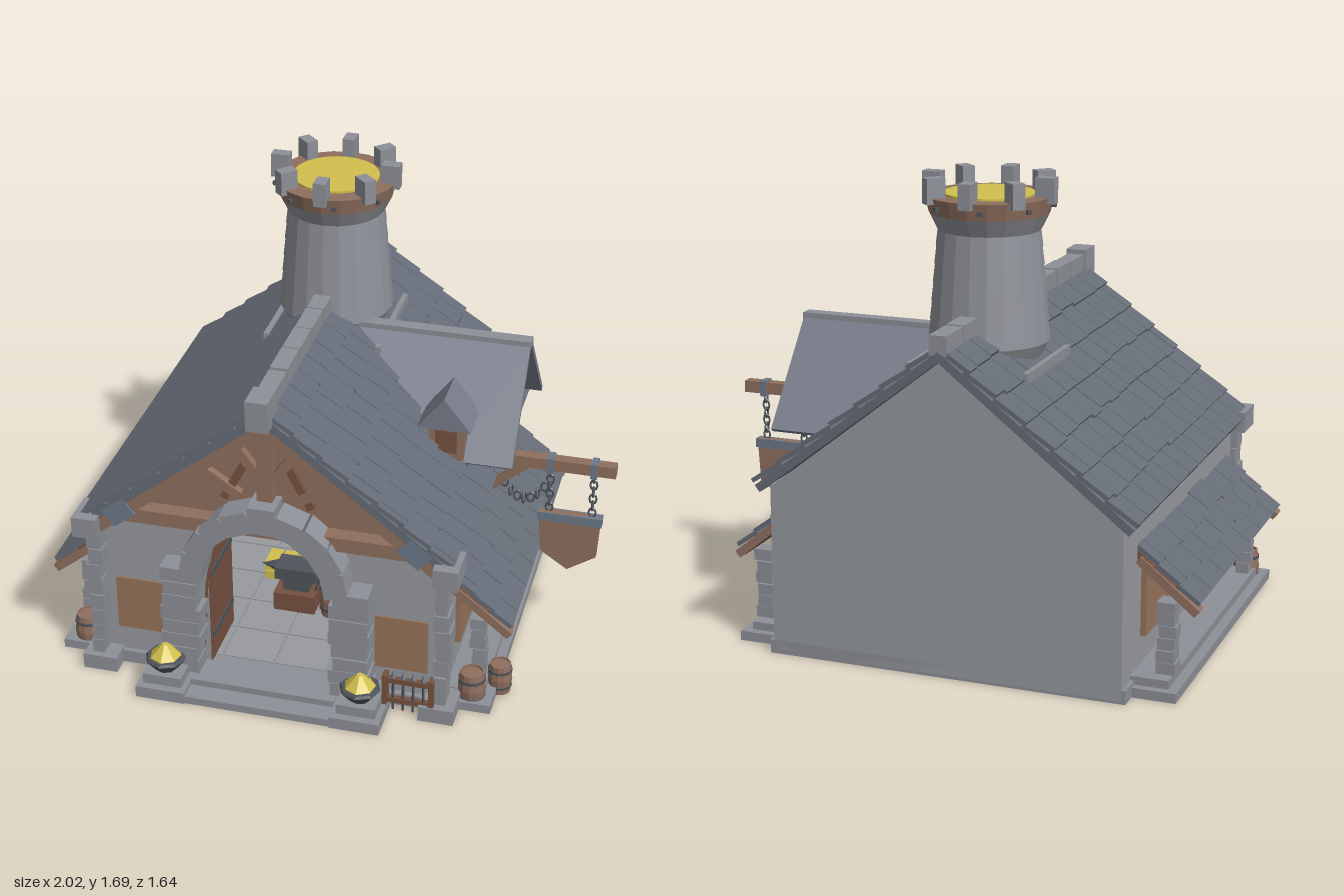
import * as THREE from 'three';

const mat = (name, color, opts = {}) => {
  const m = new THREE.MeshStandardMaterial({ color, flatShading: true, ...opts });
  m.name = name;
  return m;
};
const stone = mat('stone', 0x8d9097), wall = mat('wall plaster', 0x979a9e), slate = mat('slate', 0x666c77);
const paleSlate = mat('pale slate', 0x777c8a, { side: THREE.DoubleSide });
const wood = mat('wood', 0x8f6f5f), darkWood = mat('dark wood', 0x76523f), panelWood = mat('panel wood', 0x97735c);
const iron = mat('iron', 0x50555b), steel = mat('steel', 0x6d7889), gold = mat('gold', 0xd2bf4c);

let seed = 7;
const rnd = () => (seed = (seed * 16807) % 2147483647) / 2147483647;
const jit = (a) => (rnd() - 0.5) * 2 * a;

function add(parent, name, geo, material, x = 0, y = 0, z = 0) {
  const m = new THREE.Mesh(geo, material);
  m.name = name;
  m.position.set(x, y, z);
  parent.add(m);
  return m;
}
// box given by its min and max along each axis
const box = (p, name, m, x0, x1, y0, y1, z0, z1) =>
  add(p, name, new THREE.BoxGeometry(Math.abs(x1 - x0), y1 - y0, z1 - z0), m, (x0 + x1) / 2, (y0 + y1) / 2, (z0 + z1) / 2);
const cyl = (p, name, m, rt, rb, h, n, x, y, z) => add(p, name, new THREE.CylinderGeometry(rt, rb, h, n), m, x, y + h / 2, z);
// beam lying in a plane of constant z, from (x0,y0) to (x1,y1)
function beam(p, name, m, x0, y0, x1, y1, w, z0, z1) {
  const b = add(p, name, new THREE.BoxGeometry(Math.hypot(x1 - x0, y1 - y0), w, z1 - z0), m, (x0 + x1) / 2, (y0 + y1) / 2, (z0 + z1) / 2);
  b.rotation.z = Math.atan2(y1 - y0, x1 - x0);
  return b;
}
// flat outline pushed out from z0 to z1
function prism(p, name, m, pts, z0, z1) {
  const shape = new THREE.Shape(pts.map(([x, y]) => new THREE.Vector2(x, y)));
  return add(p, name, new THREE.ExtrudeGeometry(shape, { depth: z1 - z0, bevelEnabled: false }), m, 0, 0, z0);
}

// pair of mirrored slopes covered in overlapping tiles
function tiledRoof(parent, name, tx, ty, bx, by, zc, len, rows, cols, deckMat) {
  const L = Math.hypot(bx - tx, ty - by), pitch = L / rows;
  for (const turn of [0, Math.PI]) {
    const side = new THREE.Group(), slope = new THREE.Group();
    side.name = name;
    side.position.z = zc;
    side.rotation.y = turn;
    slope.position.set(tx, ty, 0);
    slope.rotation.z = -Math.atan2(ty - by, bx - tx);
    side.add(slope);
    parent.add(side);
    box(slope, 'roofDeck', deckMat, 0, L, -0.03, 0, -len / 2, len / 2);
    for (let r = 0; r < rows; r++) {
      let z = -len / 2;
      for (let c = 0; z < len / 2 - 0.01; c++) {
        const w = (len / cols) * (c === 0 && r % 2 ? 0.5 : 1 + jit(0.22));
        let z1 = Math.min(z + w, len / 2);
        if (len / 2 - z1 < 0.03) z1 = len / 2;
        const end = (r + 1) * pitch + (r < rows - 1 ? jit(0.008) : 0);
        const t = box(slope, 'roofTile', slate, end - pitch * 1.08, end, 0, 0.016, z + 0.002, z1 - 0.002);
        t.position.y = 0.012;
        t.rotation.z = 0.09;
        z = z1;
      }
    }
  }
}

function stack(p, name, x, z, y0, y1, n, w, d) {
  const h = (y1 - y0) / n;
  for (let i = 0; i < n; i++) {
    const hw = w / 2 + jit(w * 0.07), hd = d / 2 + jit(d * 0.06), dx = jit(0.006);
    box(p, name, stone, x + dx - hw, x + dx + hw, y0 + i * h, y0 + (i + 1) * h - 0.002, z - hd, z + hd);
  }
}

function barrel(p, x, z, r, h, y = 0) {
  const prof = [[0, 0], [r * 0.85, 0], [r, h * 0.5], [r * 0.85, h], [r * 0.75, h], [r * 0.75, h * 0.94], [0, h * 0.94]];
  add(p, 'barrel', new THREE.LatheGeometry(prof.map(([a, b]) => new THREE.Vector2(a, b)), 12), wood, x, y, z);
  for (const t of [0.2, 0.75]) cyl(p, 'barrelHoop', iron, r * 0.98, r * 0.98, h * 0.08, 12, x, y + h * t, z);
}

export function createModel() {
  const root = new THREE.Group();
  root.name = 'smithy';
  const g = new THREE.Group(); // house, symmetric about its own x = 0
  g.name = 'house';
  g.position.x = -0.145;
  root.add(g);

  // Floor, walls and gables
  box(g, 'floor', stone, -0.66, 0.66, 0, 0.05, -0.79, 0.63);
  for (let i = 0; i < 6; i++) for (let j = 0; j < 7; j++)
    box(g, 'floorTile', wall, -0.59 + i * 0.197, -0.4 + i * 0.197, 0.05, 0.054, -0.72 + j * 0.185, -0.542 + j * 0.185);
  prism(g, 'backWall', wall, [[-0.645, 0.01], [0.645, 0.01], [0.645, 0.62], [0, 1.13], [-0.645, 0.62]], -0.79, -0.74);
  prism(g, 'frontGable', wood, [[-0.645, 0.62], [0.645, 0.62], [0, 1.13]], 0.55, 0.6);
  box(g, 'backWainscot', panelWood, -0.59, 0.59, 0.05, 0.38, -0.74, -0.732);
  box(g, 'ceiling', wood, -0.6, 0.6, 0.6, 0.62, -0.74, 0.55);

  for (const s of [-1, 1]) {
    box(g, 'sideWall', wall, s * 0.595, s * 0.645, 0.02, 0.63, -0.79, 0.61);
    box(g, 'frontWall', wall, s * 0.23, s * 0.645, 0.02, 0.62, 0.55, 0.61);
    box(g, 'frontPanel', panelWood, s * 0.39, s * 0.585, 0.15, 0.37, 0.61, 0.617);
    // corner stones
    stack(g, 'cornerStone', s * 0.645, 0.63, 0.05, 0.58, 8, 0.05, 0.08);
    box(g, 'cornerCap', stone, s * 0.615, s * 0.705, 0.585, 0.665, 0.57, 0.71);
    box(g, 'cornerFoot', stone, s * 0.57, s * 0.7, 0, 0.06, 0.56, 0.7);
    // lean-to plinth, wall and pillars
    box(g, 'plinth', stone, s * 0.63, s * 0.815, 0, 0.035, -0.72, 0.6);
    box(g, 'plinthStep', stone, s * 0.63, s * 0.78, 0.035, 0.065, -0.69, 0.56);
    box(g, 'sidePanel', panelWood, s * 0.645, s * 0.665, 0.17, 0.46, -0.58, 0.43);
    stack(g, 'leanToPillar', s * 0.755, -0.605, 0.065, 0.325, 6, 0.062, 0.065);
    stack(g, 'leanToPillar', s * 0.745, 0.46, 0.065, 0.325, 6, 0.055, 0.05);
    beam(g, 'leanToRafter', wood, s * 0.65, 0.465, s * 0.86, 0.295, 0.03, 0.47, 0.52);
    beam(g, 'leanToRafter', wood, s * 0.65, 0.465, s * 0.86, 0.295, 0.03, -0.64, -0.59);
    // gable timbers
    beam(g, 'gableRafter', wood, 0, 1.125, s * 0.65, 0.607, 0.07, 0.6, 0.665);
    beam(g, 'gableStrut', wood, s * 0.03, 0.89, s * 0.11, 1.0, 0.035, 0.6, 0.63);
    beam(g, 'gableStrut', wood, s * 0.1, 0.8, s * 0.25, 0.9, 0.035, 0.6, 0.63);
    beam(g, 'gableStrut', darkWood, s * 0.07, 0.95, s * 0.16, 0.78, 0.03, 0.6, 0.62);
    box(g, 'tieBeam', wood, s * 0.2, s * 0.56, 0.65, 0.705, 0.6, 0.66);
    beam(g, 'rafterPlate', steel, s * 0.5, 0.72, s * 0.58, 0.657, 0.076, 0.66, 0.672);
    // arch pillar, its foot and fire bowl
    stack(g, 'archPillar', s * 0.315, 0.65, 0.055, 0.5, 8, 0.135, 0.1);
    box(g, 'pillarFoot', stone, s * 0.27, s * 0.455, 0, 0.045, 0.6, 0.82);
    box(g, 'pillarFootStep', stone, s * 0.29, s * 0.435, 0.045, 0.085, 0.61, 0.79);
    cyl(g, 'fireBowl', iron, 0.076, 0.04, 0.045, 8, s * 0.365, 0.085, 0.73);
    cyl(g, 'fireBowlRim', iron, 0.07, 0.076, 0.01, 8, s * 0.365, 0.13, 0.73);
    cyl(g, 'embers', gold, 0.012, 0.06, 0.05, 7, s * 0.365, 0.138, 0.73);
  }
  box(g, 'kingPost', wood, -0.028, 0.028, 0.78, 1.11, 0.6, 0.65);

  // Stone arch over the doorway
  for (let i = 0; i < 9; i++) {
    const a = ((i + 0.5) / 9) * Math.PI, r = i === 4 ? 0.275 : 0.265;
    const b = add(g, 'archStone', new THREE.BoxGeometry(0.085 + (i === 4 ? 0.02 : jit(0.008)), 0.1, 0.11), stone, r * Math.cos(a), 0.48 + r * Math.sin(a), 0.65);
    b.rotation.z = a;
  }
  box(g, 'step', stone, -0.275, 0.275, 0, 0.03, 0.6, 0.815);
  box(g, 'upperStep', stone, -0.27, 0.27, 0.03, 0.055, 0.6, 0.74);
  box(g, 'door', darkWood, -0.265, -0.225, 0.055, 0.52, 0.35, 0.61);
  for (const y of [0.15, 0.42]) box(g, 'doorStrap', iron, -0.225, -0.22, y, y + 0.025, 0.36, 0.6);

  // Main roof, lean-to roofs and ridge
  tiledRoof(g, 'mainRoof', 0, 1.17, 0.69, 0.63, -0.075, 1.49, 7, 12, slate);
  tiledRoof(g, 'leanToRoof', 0.645, 0.495, 0.855, 0.315, -0.06, 1.14, 3, 7, darkWood);
  for (let i = 0; i < 9; i++) {
    const z = 0.61 - i * 0.16;
    box(g, 'ridgeStone', stone, -0.032, 0.032, 1.155, 1.225 + jit(0.008), z - 0.15, z);
  }
  box(g, 'ridgeEnd', stone, -0.04, 0.04, 1.13, 1.245, 0.615, 0.725);

  // Chimney tower in tapering courses
  const tower = new THREE.Group();
  tower.name = 'tower';
  tower.position.z = -0.335;
  g.add(tower);
  cyl(tower, 'towerBase', stone, 0.212, 0.16, 0.11, 20, 0, 1.0, 0);
  for (let i = 0; i < 6; i++) {
    const r = 0.215 - i * 0.0055;
    cyl(tower, 'towerCourse', stone, r - 0.008, r, 0.066, 20, 0, 1.11 + i * 0.066, 0);
  }
  cyl(tower, 'towerFlare', stone, 0.212, 0.182, 0.06, 20, 0, 1.5, 0);
  cyl(tower, 'towerRing', wood, 0.226, 0.212, 0.06, 20, 0, 1.56, 0);
  cyl(tower, 'glow', gold, 0.16, 0.16, 0.008, 24, 0, 1.62, 0);
  for (let i = 0; i < 8; i++) {
    const arm = new THREE.Group();
    arm.name = 'battlement';
    arm.rotation.y = (i * Math.PI) / 4;
    tower.add(arm);
    box(arm, 'merlon', stone, 0.175, 0.243, 1.62, 1.69, -0.023, 0.023);
    box(arm, 'merlonFoot', stone, 0.215, 0.243, 1.6, 1.62, -0.023, 0.023);
    box(arm, 'stud', iron, 0.212, 0.228, 1.58, 1.595, -0.055, -0.04);
  }
  for (const s of [-1, 1]) box(tower, 'towerSill', stone, s * 0.205, s * 0.225, 1.0, 1.05, -0.225, 0.225);

  // Open side dormer
  const run = Math.hypot(0.3, 0.36), tilt = Math.atan2(0.3, 0.36);
  for (const s of [-1, 1]) {
    const pts = [[0.08, 0], [0.775, 0], [0.775, -run], [0.56, -run]];
    const slope = prism(g, 'dormerSlope', paleSlate, pts, 0, 0.02);
    if (s > 0) slope.geometry.translate(0, 0, -0.02);
    slope.position.set(0, 1.09, -0.2);
    slope.rotation.x = s * tilt;
  }
  box(g, 'dormerRidge', stone, 0.1, 0.777, 1.085, 1.112, -0.225, -0.175);
  box(g, 'dormerWindow', wood, 0.465, 0.595, 0.75, 0.89, -0.05, 0.12);
  box(g, 'windowPane', darkWood, 0.49, 0.57, 0.78, 0.87, 0.12, 0.125);
  prism(g, 'windowRoof', paleSlate, [[0.425, 0.885], [0.625, 0.885], [0.525, 1.012]], -0.03, 0.145);

  // Hanging sign
  const sign = new THREE.Group();
  sign.name = 'hangingSign';
  sign.position.z = 0.025;
  root.add(sign);
  box(sign, 'signBeam', wood, 0.44, 1.0, 0.715, 0.76, -0.022, 0.022);
  beam(sign, 'signBrace', wood, 0.5, 0.575, 0.67, 0.72, 0.03, -0.015, 0.015);
  const links = (x, y, a) => {
    const t = add(sign, 'chainLink', new THREE.TorusGeometry(0.013, 0.004, 5, 8), iron, x, y);
    t.scale.y = 1.5;
    t.rotation.set(0, a, 0);
  };
  for (const x of [0.76, 0.92]) {
    box(sign, 'beamClamp', steel, x - 0.012, x + 0.012, 0.705, 0.766, -0.027, 0.027);
    for (let i = 0; i < 6; i++) links(x, 0.545 + i * 0.03, i % 2 ? Math.PI / 2 : 0);
  }
  for (let i = 0; i < 7; i++) links(0.59 + i * 0.025, 0.57 + Math.pow((i - 3) / 3, 2) * 0.06, i % 2 ? 1.2 : 0.2);
  prism(sign, 'signBoard', wood, [[0.725, 0.53], [0.735, 0.36], [0.84, 0.29], [0.945, 0.36], [0.955, 0.53]], -0.014, 0.014);
  box(sign, 'signBand', steel, 0.72, 0.96, 0.495, 0.53, -0.02, 0.02);

  // Barrels and weapon rack outside
  barrel(root, -0.88, 0.54, 0.052, 0.13);
  barrel(root, 0.59, 0.54, 0.052, 0.135);
  barrel(root, 0.675, 0.445, 0.046, 0.12);
  for (const y of [0.05, 0.135]) box(root, 'rackRail', darkWood, 0.29, 0.48, y, y + 0.02, 0.665, 0.685);
  for (const x of [0.3, 0.47]) box(root, 'rackPost', darkWood, x - 0.009, x + 0.009, 0, 0.17, 0.655, 0.695);
  for (let i = 0; i < 4; i++) {
    cyl(root, 'rackSpear', iron, 0.005, 0.005, 0.15, 5, 0.33 + i * 0.037, 0.02, 0.68);
    cyl(root, 'rackSpearTip', steel, 0, 0.011, 0.03, 4, 0.33 + i * 0.037, 0.16, 0.68);
  }

  // Forge furnishings inside
  box(g, 'anvilBlock', darkWood, -0.1, 0.06, 0.05, 0.13, 0.1, 0.24);
  box(g, 'anvilFoot', iron, -0.07, 0.03, 0.13, 0.18, 0.13, 0.21);
  box(g, 'anvilTop', iron, -0.1, 0.06, 0.18, 0.23, 0.12, 0.22);
  const horn = cyl(g, 'anvilHorn', iron, 0, 0.025, 0.07, 6, -0.13, 0.175, 0.17);
  horn.rotation.z = Math.PI / 2;
  barrel(g, 0.13, 0.2, 0.06, 0.16, 0.05);
  for (let i = 0; i < 6; i++) {
    const a = jit(0.3);
    cyl(g, 'storedWeapon', iron, 0.005, 0.005, 0.2, 5, 0.09 + i * 0.016, 0.15, 0.2 + jit(0.03)).rotation.z = a;
  }
  box(g, 'workTable', wood, 0.12, 0.5, 0.2, 0.24, -0.5, -0.25);
  for (const x of [0.15, 0.47]) box(g, 'tableLeg', darkWood, x - 0.02, x + 0.02, 0.05, 0.2, -0.48, -0.27);
  for (let i = 0; i < 8; i++)
    box(g, 'goldBar', gold, -0.19 + (i % 4) * 0.06, -0.14 + (i % 4) * 0.06, 0.054 + (i >> 2) * 0.04, 0.09 + (i >> 2) * 0.04, -0.05, 0.05);
  cyl(g, 'goldPile', gold, 0.02, 0.08, 0.08, 7, 0.24, 0.05, 0.05);

  return root;
}
